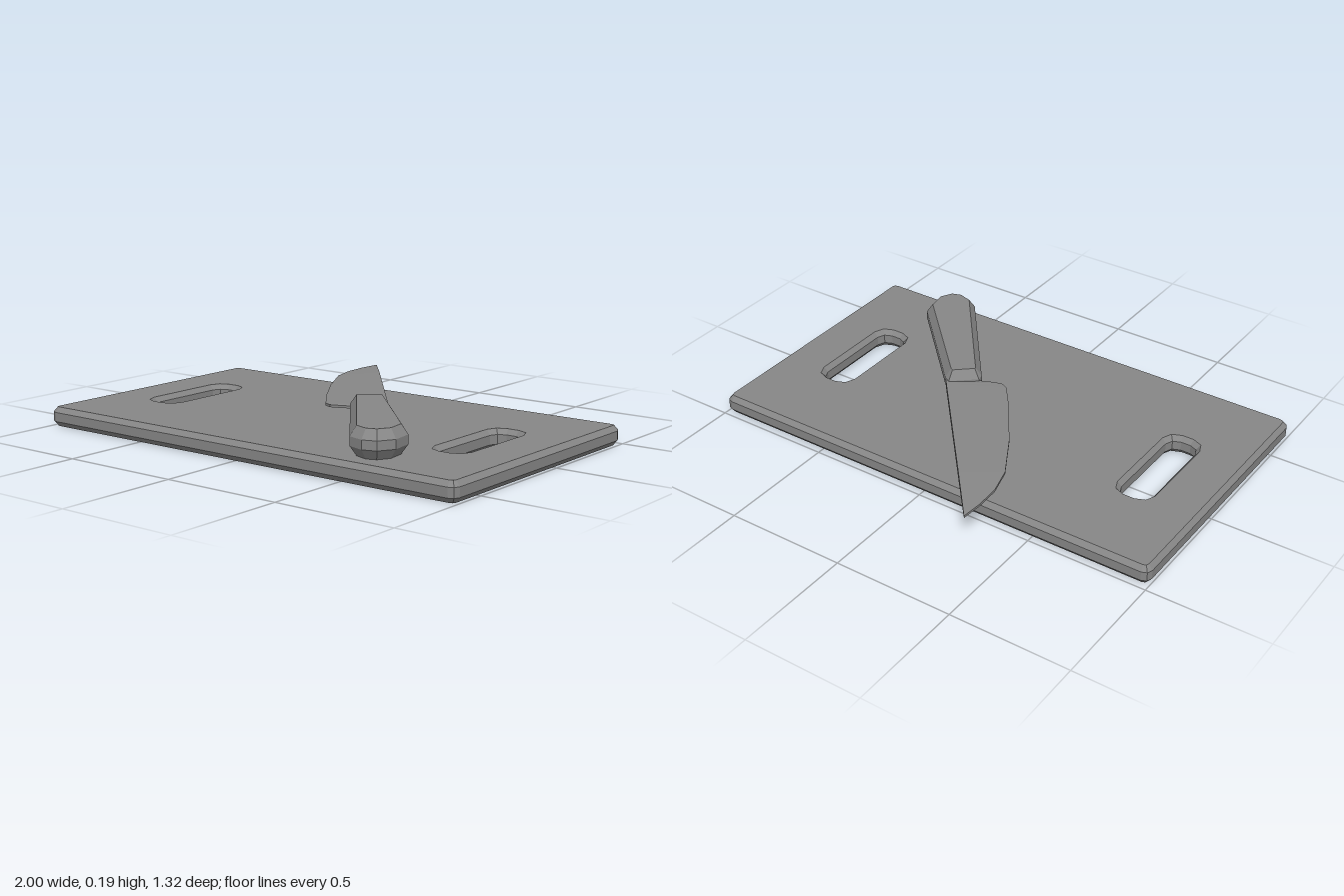
import * as THREE from 'three';

const material = new THREE.MeshStandardMaterial({ color: 0x878787, flatShading: true });

function addMesh(parent, name, geometry) {
  const mesh = new THREE.Mesh(geometry, material);
  mesh.name = name;
  parent.add(mesh);
}

// Rounded rectangle in plan: x across, second axis is z
function roundedRect(path, x0, z0, x1, z1, r) {
  const q = Math.PI / 2;
  path.moveTo(x0 + r, z0);
  path.absarc(x1 - r, z0 + r, r, -q, 0, false);
  path.absarc(x1 - r, z1 - r, r, 0, q, false);
  path.absarc(x0 + r, z1 - r, r, q, 2 * q, false);
  path.absarc(x0 + r, z0 + r, r, 2 * q, 3 * q, false);
  return path;
}

// Slab lying flat between two heights, with chamfers cut inside the outline
function chamferedSlab(shape, bottom, top, size, height) {
  const geometry = new THREE.ExtrudeGeometry(shape, {
    depth: top - bottom - 2 * height,
    curveSegments: 1,
    bevelEnabled: true,
    bevelSegments: 1,
    bevelSize: size,
    bevelOffset: -size,
    bevelThickness: height,
  });
  geometry.rotateX(Math.PI / 2);
  geometry.translate(0, top - height, 0);
  return geometry;
}

// Wedge blade: each cross-section runs from the thick spine to the thin edge
function bladeGeometry() {
  const y = 0.136;
  const heel = new THREE.Vector2(0.24, 0.015);
  const tip = new THREE.Vector2(-0.325, -0.66);
  const length = heel.distanceTo(tip);
  const along = tip.clone().sub(heel).normalize();
  const edge = [
    [0.165, 0.11], [0.095, 0.14], [0.058, 0.152], [0.025, 0.137], [-0.065, 0.022],
    [-0.195, -0.17], [-0.297, -0.35], [-0.328, -0.465], [-0.332, -0.57], [-0.325, -0.66],
  ];
  const rings = edge.map(([x, z]) => {
    const t = new THREE.Vector2(x, z).sub(heel).dot(along);
    const s = heel.clone().addScaledVector(along, t);
    const thick = THREE.MathUtils.mapLinear(Math.max(t, 0.66), 0.66, length, 0.017, 0.005);
    const thin = 0.005;
    return [[s.x, y + thick, s.y], [x, y + thin, z], [x, y - thin, z], [s.x, y - thick, s.y]];
  });
  const positions = [];
  const quad = (a, b, c, d) => positions.push(...a, ...b, ...c, ...a, ...c, ...d);
  quad(...rings[0]);
  for (let i = 0; i < rings.length - 1; i++) {
    for (let j = 0; j < 4; j++) {
      const k = (j + 1) % 4;
      quad(rings[i][j], rings[i + 1][j], rings[i + 1][k], rings[i][k]);
    }
  }
  const geometry = new THREE.BufferGeometry();
  geometry.setAttribute('position', new THREE.Float32BufferAttribute(positions, 3));
  geometry.computeVertexNormals();
  return geometry;
}

export function createModel() {
  const model = new THREE.Group();
  model.name = 'cuttingBoardWithKnife';

  // Board with a grip slot near each end
  const board = roundedRect(new THREE.Shape(), -1, -0.485, 1, 0.66, 0.03);
  for (const side of [-1, 1]) {
    const x = side * 0.72;
    board.holes.push(roundedRect(new THREE.Path(), x - 0.066, -0.13, x + 0.066, 0.303, 0.045));
  }
  addMesh(model, 'board', chamferedSlab(board, 0, 0.08, 0.017, 0.021));

  // Knife resting across the board
  const knife = new THREE.Group();
  knife.name = 'knife';
  model.add(knife);

  const handle = new THREE.Shape([
    [0.142, 0.108], [0.235, 0.026], [0.265, 0.044], [0.643, 0.432], [0.656, 0.525],
    [0.62, 0.588], [0.565, 0.607], [0.495, 0.585], [0.146, 0.135],
  ].map(([x, z]) => new THREE.Vector2(x, z)));
  addMesh(knife, 'handle', chamferedSlab(handle, 0.08, 0.192, 0.025, 0.038));
  addMesh(knife, 'blade', bladeGeometry());

  return model;
}
